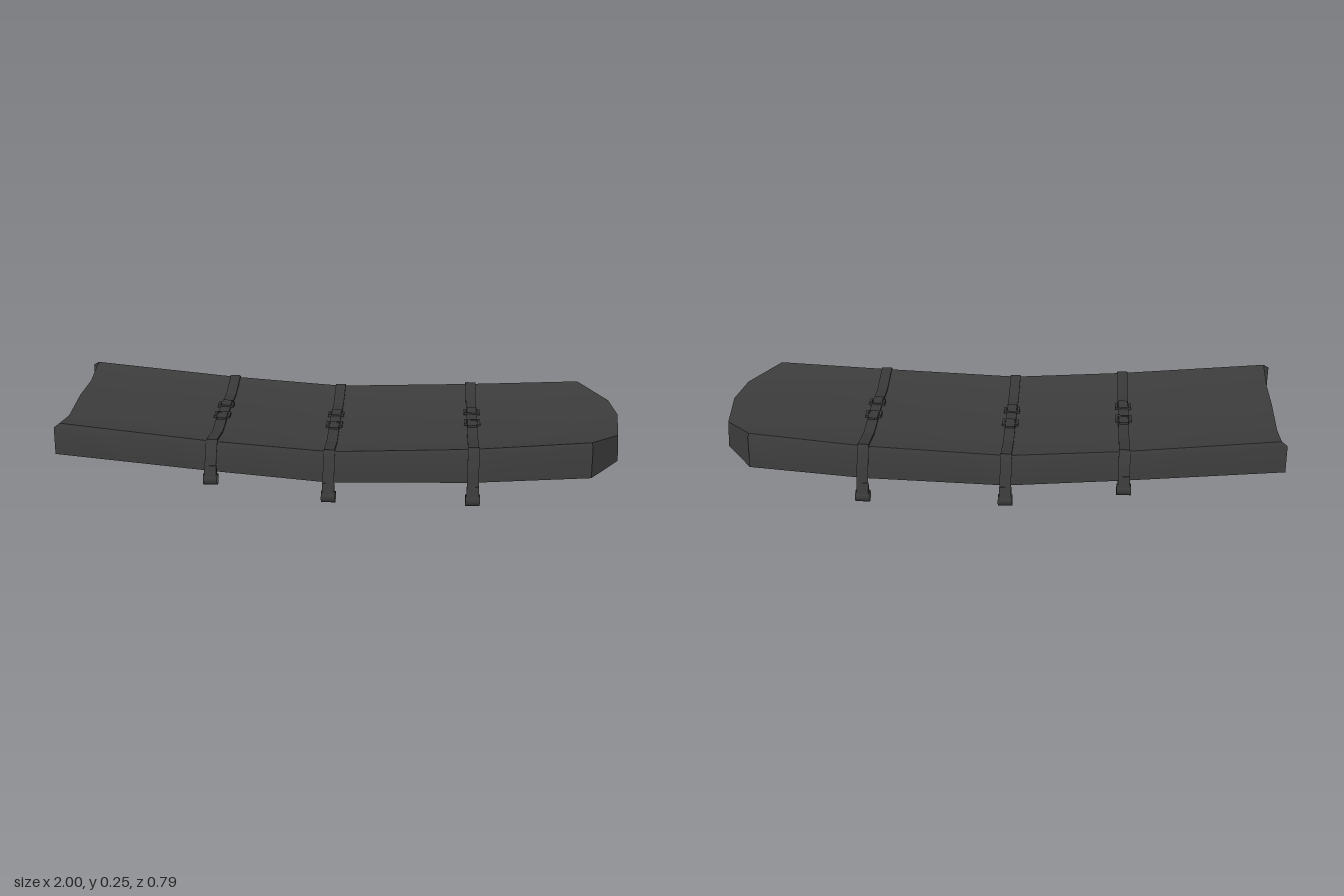
import * as THREE from 'three';
import { toCreasedNormals } from 'three/addons/utils/BufferGeometryUtils.js';

const fabric = new THREE.MeshStandardMaterial({ color: 0x3c3c3c, side: THREE.DoubleSide });
const webbing = new THREE.MeshStandardMaterial({ color: 0x383838, side: THREE.DoubleSide });

// Stations along the pad: x, half width, top edge height, bottom edge height
const stations = [
  [-0.995, 0.327, 0.25, 0.137],
  [-0.44, 0.333, 0.198, 0.089],
  [-0.03, 0.335, 0.17, 0.057],
  [0.47, 0.331, 0.19, 0.068],
];
// Columns across the width: fraction, top offset, bottom offset
const columns = [[-1, 0, 0], [-0.57, -0.025, -0.005], [0, -0.015, -0.012], [0.57, -0.025, -0.005], [1, 0, 0]];
// Clipped nose: x, z, top, bottom for each column
const nose = [[0.88, 0.311, 0.217, 0.088], [0.985, 0.175, 0.193, 0.097], [1, 0, 0.205, 0.09]];

function mesh(name, geometry, material = webbing) {
  const m = new THREE.Mesh(geometry, material);
  m.name = name;
  return m;
}

// Closed ring around the pad: bevelled top, then underside
function ring(points, inset) {
  const n = points.length;
  const loop = points.map(([x, z, top]) => [x - inset, z * 0.968, top]);
  const [l, r] = [points[0], points[n - 1]];
  loop.push([r[0], r[1] * 0.985, r[2] - 0.014]);
  for (let i = n - 1; i >= 0; i--) loop.push([points[i][0], points[i][1], points[i][3]]);
  loop.push([l[0], l[1] * 0.985, l[2] - 0.014]);
  return loop.map(([x, z, y]) => [x, z, y]).map(([x, z, y]) => [x, y, z]);
}

function padGeometry() {
  const rings = stations.map(([x, w, top, bottom], i) =>
    ring(columns.map(([s, t, b]) => [x, s * w, top + t, bottom + b]), i === 0 ? -0.02 : 0));
  const half = nose.map(([x, z, t, b]) => [x, -z, t, b]);
  rings.push(ring([...half, nose[1], nose[0]], 0.004));
  const n = rings[0].length;
  const pos = rings.flat(2), idx = [];
  for (let i = 0; i < rings.length - 1; i++) {
    for (let j = 0; j < n; j++) {
      const a = i * n + j, b = i * n + (j + 1) % n;
      idx.push(a, b, a + n, b, b + n, a + n);
    }
  }
  // End panels joined between matching top and bottom points
  for (const base of [0, (rings.length - 1) * n]) {
    const quad = (a, b, c, d) => {
      const f = [a, b, c, a, c, d].map(v => base + v);
      idx.push(...(base ? f.reverse() : f));
    };
    for (let j = 0; j < 4; j++) quad(j, 10 - j, 9 - j, j + 1);
    const tri = (a, b, c) => idx.push(...(base ? [c, b, a] : [a, b, c]).map(v => base + v));
    tri(0, 11, 10);
    tri(4, 6, 5);
  }
  const g = new THREE.BufferGeometry();
  g.setAttribute('position', new THREE.Float32BufferAttribute(pos, 3));
  g.setIndex(idx);
  return toCreasedNormals(g, 0.45);
}

// Extrude a (z, y) outline across the strap width in x
function across(shape, width) {
  const g = new THREE.ExtrudeGeometry(shape, { depth: width, bevelEnabled: false });
  return g.translate(0, 0, -width / 2).rotateY(-Math.PI / 2);
}

// Flat webbing of given thickness following a (z, y) path
function ribbon(path, width, thick) {
  const pts = path.map(p => new THREE.Vector2(...p));
  const outer = pts.map((p, i) => {
    const d = pts[Math.min(i + 1, pts.length - 1)].clone().sub(pts[Math.max(i - 1, 0)]).normalize();
    return new THREE.Vector2(p.x - d.y * thick, p.y + d.x * thick);
  });
  return across(new THREE.Shape([...pts, ...outer.reverse()]), width);
}

// Rectangular slider frame lying flat
function buckleGeometry() {
  const rect = (P, w, h) => new P([[-w, -h], [w, -h], [w, h], [-w, h]].map(p => new THREE.Vector2(...p)));
  const s = rect(THREE.Shape, 0.029, 0.02);
  s.holes.push(rect(THREE.Path, 0.02, 0.011));
  return new THREE.ExtrudeGeometry(s, { depth: 0.009, bevelEnabled: false }).rotateX(-Math.PI / 2);
}

function strap(x, top, w, loopY) {
  const g = new THREE.Group();
  g.name = 'strap';
  g.position.x = x;
  // Webbing across the top, left to right
  const path = columns.map(([s, t]) => [s * w * 0.97, top + t + 0.001]);
  g.add(mesh('topWebbing', ribbon(path, 0.038, 0.006)));
  for (const side of [-1, 1]) {
    const half = new THREE.Group();
    half.name = side > 0 ? 'frontHandle' : 'backHandle';
    if (side < 0) half.rotation.y = Math.PI;
    // Hanging webbing, sewn tab and carry loop
    half.add(mesh('sideWebbing', ribbon([
      [w * 0.965, top + 0.002], [w + 0.003, top - 0.015], [0.355, (top + loopY) / 2 + 0.022], [0.375, loopY + 0.04],
    ], 0.04, 0.003)));
    const wedge = new THREE.Shape([[0.36, loopY + 0.014], [0.39, loopY + 0.014], [0.376, loopY + 0.05], [0.37, loopY + 0.05]]
      .map(p => new THREE.Vector2(...p)));
    half.add(mesh('sewnTab', across(wedge, 0.042)));
    const loop = mesh('carryLoop', new THREE.CylinderGeometry(0.02, 0.02, 0.05, 24, 1, true).rotateZ(Math.PI / 2));
    loop.position.set(0, loopY, 0.375);
    half.add(loop);
    // Slider and folded strap end beside the middle
    const buckle = mesh('buckle', buckleGeometry());
    buckle.position.set(0, top - 0.014, 0.05);
    buckle.rotation.x = 0.05;
    const fold = mesh('foldedEnd', new THREE.BoxGeometry(0.034, 0.007, 0.06));
    fold.position.set(0, top - 0.009, 0.06);
    half.add(buckle, fold);
    g.add(half);
  }
  return g;
}

export function createModel() {
  const model = new THREE.Group();
  model.name = 'paddedMat';
  model.add(mesh('pad', padGeometry(), fabric));
  const loopHeights = [0.078, 0.022, 0.022];
  stations.slice(1).forEach(([x, w, top], i) => model.add(strap(x, top, w, loopHeights[i])));
  return model;
}
